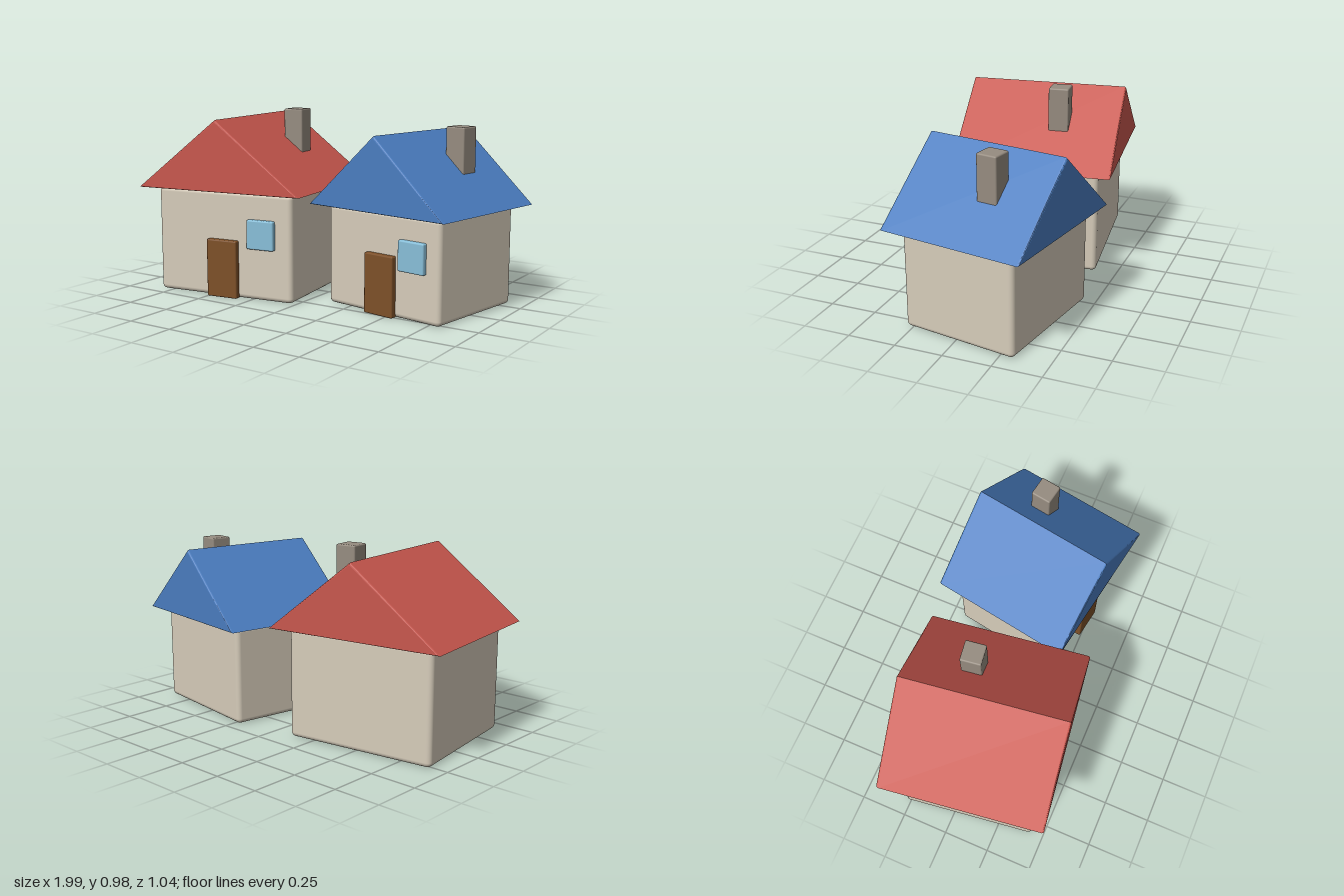
import * as THREE from 'three';
import { RoundedBoxGeometry } from 'three/addons/geometries/RoundedBoxGeometry.js';

function material(name, color) {
  const m = new THREE.MeshStandardMaterial({ color });
  m.name = name;
  return m;
}

// Rounded box standing on height y
function block(name, mat, [w, h, d], [x, y, z], radius) {
  const mesh = new THREE.Mesh(new RoundedBoxGeometry(w, h, d, 3, radius), mat);
  mesh.name = name;
  mesh.position.set(x, y + h / 2, z);
  return mesh;
}

// Solid gable roof with softly bevelled edges, ridge along z
function gableRoof(mat, width, depth, eave, ridge) {
  const bevel = 0.01;
  const half = width / 2 - 0.013;
  const shape = new THREE.Shape();
  shape.moveTo(-half, eave + 0.005);
  shape.lineTo(half, eave + 0.005);
  shape.lineTo(0, ridge - 0.013);
  shape.closePath();
  const geometry = new THREE.ExtrudeGeometry(shape, {
    depth: depth - 2 * bevel, bevelEnabled: true,
    bevelSize: bevel, bevelThickness: bevel, bevelSegments: 3,
  });
  geometry.translate(0, 0, bevel - depth / 2);
  const mesh = new THREE.Mesh(geometry, mat);
  mesh.name = 'roof';
  return mesh;
}

export function createModel() {
  const wall = material('plaster', 0xd6ccba);
  const wood = material('doorWood', 0x7d5028);
  const glass = material('windowGlass', 0x88bfd9);
  const stone = material('chimneyStone', 0x968c80);
  const redTile = material('redRoof', 0xc8574e);
  const blueTile = material('blueRoof', 0x4a7dc0);

  const houses = [
    { name: 'redHouse', tile: redTile, x: -0.467, z: 0.025, turn: 0.136,
      w: 0.81, d: 0.72, h: 0.57, roofW: 0.96, roofD: 0.87, ridge: 0.947,
      windowX: 0.23, windowY: 0.275, chimneyTop: 0.98 },
    { name: 'blueHouse', tile: blueTile, x: 0.512, z: -0.075, turn: -0.168,
      w: 0.71, d: 0.62, h: 0.52, roofW: 0.85, roofD: 0.77, ridge: 0.897,
      windowX: 0.197, windowY: 0.245, chimneyTop: 0.925 },
  ];

  const model = new THREE.Group();
  model.name = 'twoHouses';
  for (const s of houses) {
    const house = new THREE.Group();
    house.name = s.name;
    const front = s.d / 2;
    const chimneyBase = s.h + 0.08;
    house.add(
      block('walls', wall, [s.w, s.h, s.d], [0, 0, 0], 0.025),
      gableRoof(s.tile, s.roofW, s.roofD, s.h, s.ridge),
      block('door', wood, [0.18, 0.31, 0.04], [0, 0, front + 0.01], 0.008),
      block('window', glass, [0.157, 0.155, 0.04], [s.windowX, s.windowY, front + 0.006], 0.008),
      block('chimney', stone, [0.11, s.chimneyTop - chimneyBase, 0.11],
        [s.w * 0.25, chimneyBase, -s.d * 0.15], 0.008),
    );
    house.position.set(s.x, 0, s.z);
    house.rotation.y = s.turn;
    model.add(house);
  }
  return model;
}
